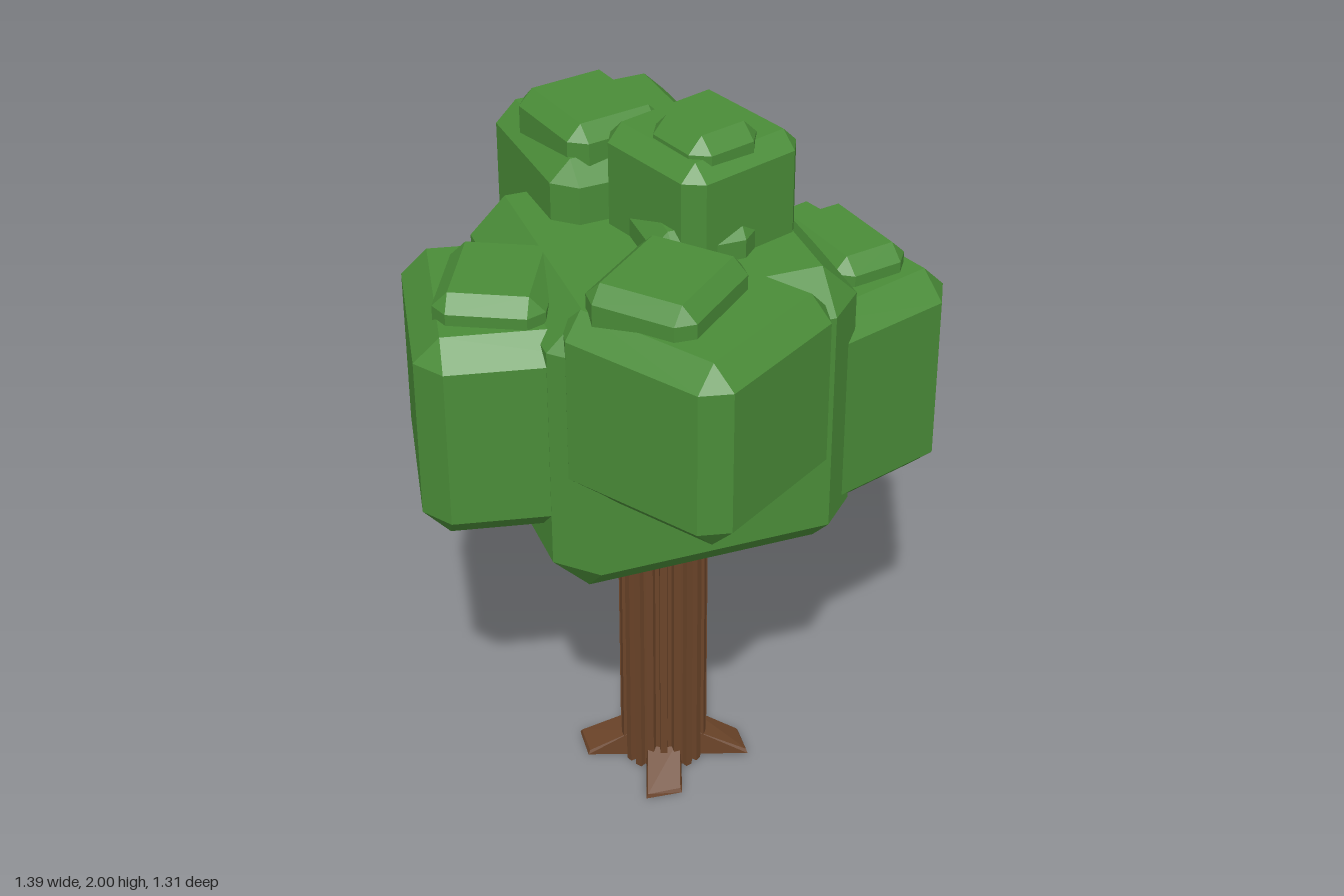
import * as THREE from 'three';
import { ConvexGeometry } from 'three/addons/geometries/ConvexGeometry.js';

const leaf = new THREE.MeshStandardMaterial({ color: 0x4a8c38, flatShading: true });
const bark = new THREE.MeshStandardMaterial({ color: 0x6b4429, flatShading: true });

// Box with every edge and corner cut off by c
function chamferBox(w, h, d, c) {
  const pts = [];
  for (const sx of [-1, 1]) for (const sy of [-1, 1]) for (const sz of [-1, 1])
    for (let k = 0; k < 3; k++) {
      pts.push(new THREE.Vector3(
        sx * (w / 2 - (k === 0 ? 0 : c)),
        sy * (h / 2 - (k === 1 ? 0 : c)),
        sz * (d / 2 - (k === 2 ? 0 : c))));
    }
  return new ConvexGeometry(pts);
}

// Block of leaves turned about y, placed by the height of its top
function leafBlock(name, w, h, d, c, x, top, z, deg) {
  const mesh = new THREE.Mesh(chamferBox(w, h, d, c), leaf);
  mesh.name = name;
  mesh.position.set(x, top - h / 2, z);
  mesh.rotation.y = THREE.MathUtils.degToRad(deg);
  return mesh;
}

export function createModel() {
  const model = new THREE.Group();
  model.name = 'tree';

  // Large cubes of foliage: name, size, x, top, z, turn
  const canopy = new THREE.Group();
  canopy.name = 'canopy';
  const cubes = [
    ['mainFoliage', 0.81, -0.045, 1.68, -0.04, 20],
    ['frontFoliage', 0.515, 0.04, 1.69, 0.33, -38],
    ['rightFoliage', 0.57, -0.39, 1.61, 0.11, 8],
    ['leftFoliage', 0.6, 0.31, 1.53, -0.14, 38],
    ['backFoliage', 0.48, -0.175, 1.84, -0.36, 24],
    ['topFoliage', 0.37, 0.06, 1.95, -0.08, 39],
  ];
  for (const [name, s, x, top, z, deg] of cubes)
    canopy.add(leafBlock(name, s, s, s, s * 0.118, x, top, z, deg));

  // Low tufts sitting on the cubes: name, width, depth, x, top, z, turn
  const tufts = [
    ['mainTuft', 0.27, 0.27, 0.03, 1.77, 0.01, 20],
    ['frontTuft', 0.3, 0.34, -0.03, 1.77, 0.315, -29],
    ['rightTuft', 0.28, 0.33, -0.445, 1.68, 0.15, -7],
    ['leftTuft', 0.22, 0.32, 0.425, 1.6, -0.18, 31],
    ['backTuft', 0.28, 0.32, -0.22, 1.92, -0.305, 32],
    ['topTuft', 0.21, 0.22, 0.065, 2, -0.02, 37],
  ];
  for (const [name, w, d, x, top, z, deg] of tufts)
    canopy.add(leafBlock(name, w, 0.16, d, 0.04, x, top, z, deg));
  model.add(canopy);

  // Trunk with square-cut vertical ridges
  const wood = new THREE.Group();
  wood.name = 'wood';
  wood.position.set(-0.04, 0, -0.04);
  const ridges = 20;
  const outline = [];
  for (let i = 0; i < ridges; i++) {
    [[0, 0.122], [0.5, 0.122], [0.58, 0.106], [0.92, 0.106]].forEach(([t, r]) => {
      const a = ((i + t - 0.25) / ridges) * Math.PI * 2;
      outline.push(new THREE.Vector2(Math.cos(a) * r, Math.sin(a) * r));
    });
  }
  const trunkGeo = new THREE.ExtrudeGeometry(new THREE.Shape(outline), { depth: 0.95, bevelEnabled: false });
  trunkGeo.rotateX(-Math.PI / 2);
  const trunk = new THREE.Mesh(trunkGeo, bark);
  trunk.name = 'trunk';
  wood.add(trunk);

  // Four wedge roots, each with a slanted tip
  for (let i = 0; i < 4; i++) {
    const pts = [];
    for (const s of [-1, 1]) {
      pts.push(new THREE.Vector3(0.08, 0, s * 0.05), new THREE.Vector3(0.08, 0.085, s * 0.045));
      pts.push(new THREE.Vector3(s > 0 ? 0.24 : 0.215, 0, s * 0.05));
      pts.push(new THREE.Vector3(s > 0 ? 0.235 : 0.21, 0.012, s * 0.045));
    }
    const root = new THREE.Mesh(new ConvexGeometry(pts), bark);
    root.name = 'root' + (i + 1);
    root.rotation.y = (i * Math.PI) / 2;
    wood.add(root);
  }
  model.add(wood);
  return model;
}
